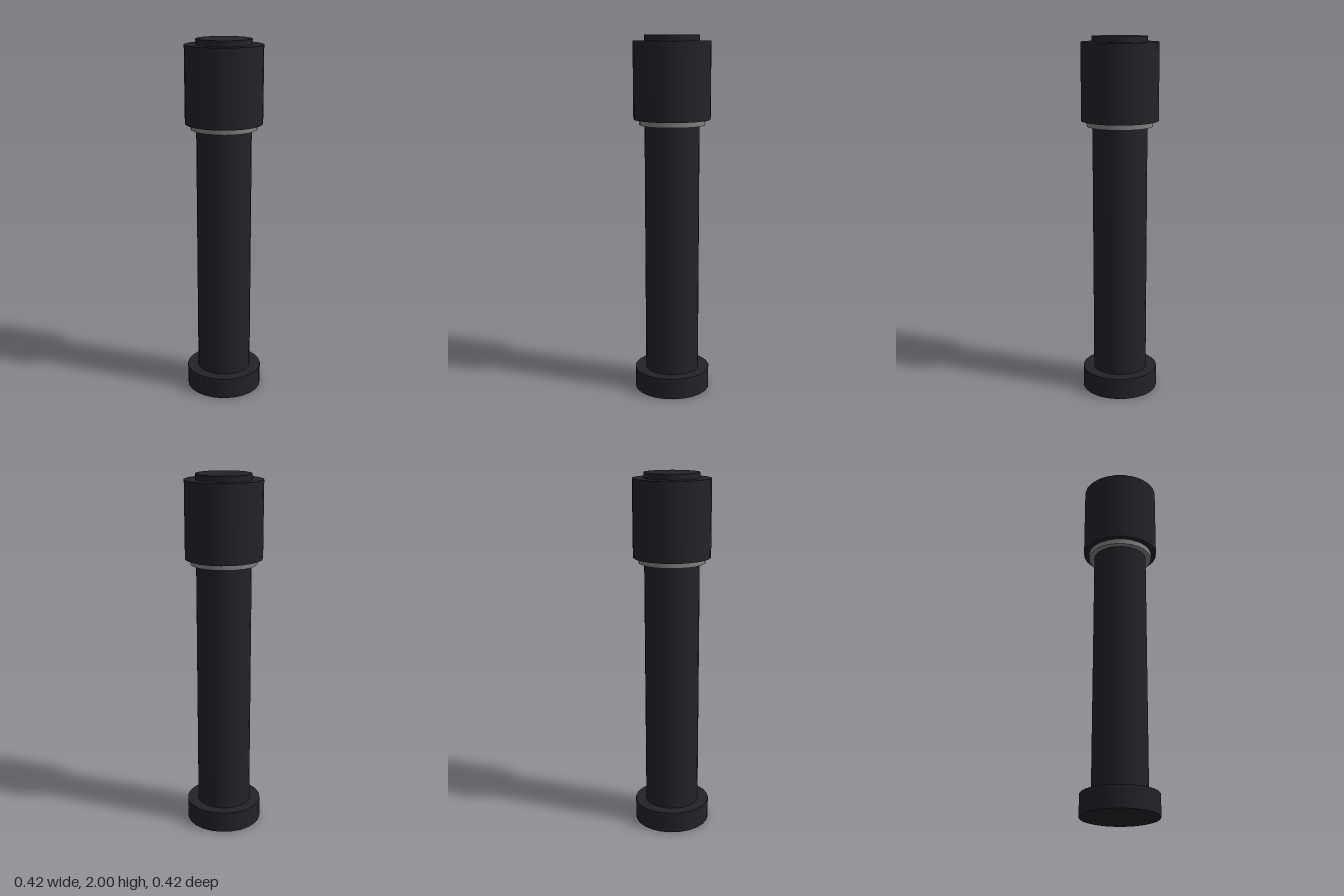
import * as THREE from 'three';

const SIDES = 24;
const black = new THREE.MeshStandardMaterial({ color: 0x222228 });
const grey = new THREE.MeshStandardMaterial({ color: 0x808080 });

// Upright cylinder spanning bottom to top
function drum(name, radius, bottom, top, material) {
  const geometry = new THREE.CylinderGeometry(radius, radius, top - bottom, SIDES);
  const mesh = new THREE.Mesh(geometry, material);
  mesh.name = name;
  mesh.position.y = (bottom + top) / 2;
  return mesh;
}

export function createModel() {
  const model = new THREE.Group();
  model.name = 'handle';
  model.add(
    drum('shaft', 0.151, 0.02, 2, black), // runs through the head and shows as the top cap
    drum('base', 0.212, 0, 0.12, black),
    drum('collarRing', 0.182, 1.52, 1.57, grey),
    drum('head', 0.212, 1.55, 1.97, black)
  );
  return model;
}
